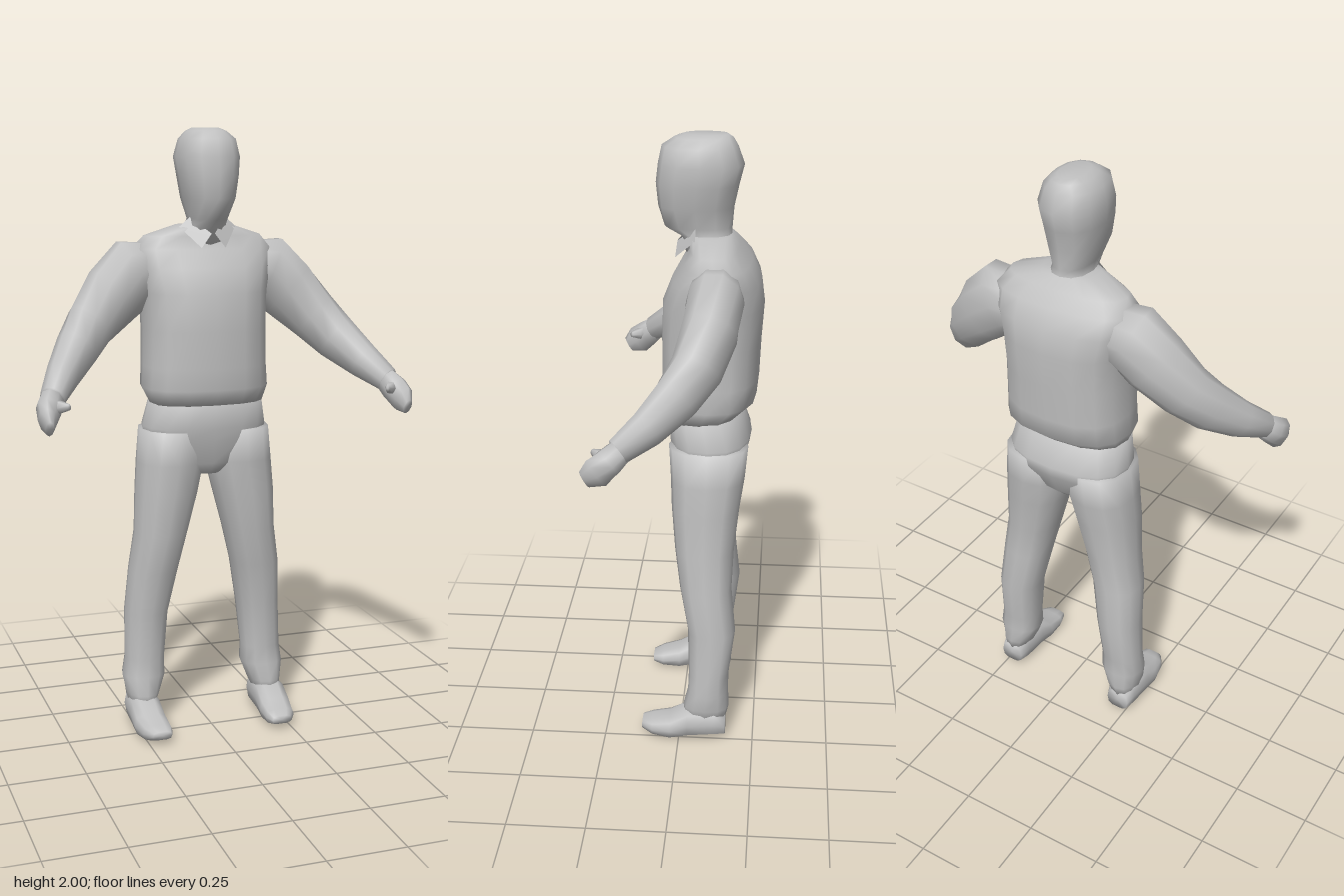
import * as THREE from 'three';

const V = (x, y, z) => new THREE.Vector3(x, y, z);

// Skin a list of rings {c, u, v} (u x v points along the path) and cap both ends.
function loft(rings, n = 12, power = 2) {
  const pos = [], idx = [];
  const bend = (t) => Math.sign(t) * Math.pow(Math.abs(t), 2 / power);
  for (const { c, u, v } of rings) {
    for (let i = 0; i < n; i++) {
      const a = (i / n) * Math.PI * 2;
      const p = c.clone().addScaledVector(u, bend(Math.cos(a))).addScaledVector(v, bend(Math.sin(a)));
      pos.push(p.x, p.y, p.z);
    }
  }
  const last = (rings.length - 1) * n;
  for (let r = 0; r < last; r += n) {
    for (let i = 0; i < n; i++) {
      const j = (i + 1) % n;
      idx.push(r + i, r + j, r + n + j, r + i, r + n + j, r + n + i);
    }
  }
  const base = pos.length / 3;
  for (const ring of [rings[0], rings[rings.length - 1]]) pos.push(ring.c.x, ring.c.y, ring.c.z);
  for (let i = 0; i < n; i++) {
    const j = (i + 1) % n;
    idx.push(base, j, i, base + 1, last + i, last + j);
  }
  const g = new THREE.BufferGeometry();
  g.setAttribute('position', new THREE.Float32BufferAttribute(pos, 3));
  g.setIndex(idx);
  g.computeVertexNormals();
  return g;
}

// Horizontal rings, bottom to top: [y, xMin, xMax, zBack, zFront]
const upright = (rows) => rows.map(([y, x0, x1, zb, zf]) => ({
  c: V((x0 + x1) / 2, y, (zb + zf) / 2),
  u: V((x1 - x0) / 2, 0, 0),
  v: V(0, 0, -(zf - zb) / 2),
}));

// Symmetric horizontal rings: [y, halfWidth, zBack, zFront]
const centred = (rows) => upright(rows.map(([y, w, zb, zf]) => [y, -w, w, zb, zf]));

// Rings facing +z, heel to toe: [z, xMin, xMax, yBottom, yTop]
const forward = (rows) => rows.map(([z, x0, x1, y0, y1]) => ({
  c: V((x0 + x1) / 2, (y0 + y1) / 2, z),
  u: V((x1 - x0) / 2, 0, 0),
  v: V(0, (y1 - y0) / 2, 0),
}));

// Rings square to a path: [x, y, z, sideRadius, upRadius]
function along(rows) {
  const pts = rows.map(([x, y, z]) => V(x, y, z));
  return rows.map(([, , , rs, ru], i) => {
    const t = pts[Math.min(i + 1, pts.length - 1)].clone().sub(pts[Math.max(i - 1, 0)]).normalize();
    const side = V(0, 1, 0).cross(t).normalize();
    const up = t.clone().cross(side);
    return { c: pts[i], u: side.multiplyScalar(rs), v: up.multiplyScalar(ru) };
  });
}

// Mirror a geometry in x, keeping its faces outward
function mirrored(g) {
  const m = g.clone().scale(-1, 1, 1);
  const a = m.index.array;
  for (let i = 0; i < a.length; i += 3) [a[i + 1], a[i + 2]] = [a[i + 2], a[i + 1]];
  m.computeVertexNormals();
  return m;
}

export function createModel() {
  const group = new THREE.Group();
  const grey = new THREE.MeshStandardMaterial({ color: 0xc0c0c0, side: THREE.DoubleSide });
  grey.name = 'plain grey';
  const add = (name, g) => {
    const mesh = new THREE.Mesh(g, grey);
    mesh.name = name;
    group.add(mesh);
  };
  const addPair = (name, g) => {
    add(name + 'Left', g);
    add(name + 'Right', mirrored(g));
  };

  // Head and neck
  add('head', loft(centred([
    [1.62, 0.075, -0.17, -0.01],
    [1.69, 0.065, -0.15, 0.01],
    [1.715, 0.058, -0.15, 0.06],
    [1.78, 0.083, -0.155, 0.08],
    [1.85, 0.094, -0.17, 0.087],
    [1.91, 0.102, -0.185, 0.08],
    [1.965, 0.088, -0.165, 0.068],
    [1.99, 0.062, -0.15, 0.03],
    [2.0, 0.04, -0.135, 0.0],
  ]), 12, 2.2));

  // Shirt, with its hem standing proud of the trousers
  add('shirt', loft(centred([
    [1.12, 0.19, -0.18, 0.055],
    [1.17, 0.212, -0.235, 0.068],
    [1.24, 0.207, -0.242, 0.07],
    [1.36, 0.205, -0.247, 0.07],
    [1.48, 0.21, -0.255, 0.066],
    [1.56, 0.23, -0.245, 0.035],
    [1.62, 0.235, -0.215, 0.0],
    [1.66, 0.2, -0.175, -0.02],
    [1.695, 0.09, -0.15, -0.015],
  ]), 16, 2.5));

  // Pointed collar flaps
  const flap = new THREE.BufferGeometry();
  flap.setAttribute('position', new THREE.Float32BufferAttribute([
    0.005, 1.67, 0.02, 0.04, 1.625, 0.025, 0.095, 1.69, -0.04, 0.06, 1.72, -0.04,
  ], 3));
  flap.setIndex([0, 1, 2, 0, 2, 3]);
  flap.computeVertexNormals();
  addPair('collar', flap);

  // Trouser seat
  add('hips', loft(centred([
    [0.88, 0.05, -0.14, -0.01],
    [0.92, 0.13, -0.18, 0.02],
    [1.0, 0.205, -0.215, 0.038],
    [1.04, 0.21, -0.222, 0.045],
    [1.15, 0.187, -0.185, 0.055],
  ]), 16, 2.4));

  // Legs
  addPair('leg', loft(upright([
    [0.07, 0.185, 0.268, -0.155, -0.02],
    [0.12, 0.165, 0.275, -0.168, -0.015],
    [0.18, 0.14, 0.287, -0.165, -0.03],
    [0.24, 0.142, 0.277, -0.165, -0.032],
    [0.4, 0.127, 0.273, -0.185, -0.028],
    [0.55, 0.098, 0.263, -0.17, 0.0],
    [0.68, 0.067, 0.243, -0.175, 0.018],
    [0.82, 0.03, 0.238, -0.19, 0.03],
    [0.92, 0.008, 0.23, -0.205, 0.034],
    [1.03, 0.01, 0.218, -0.215, 0.04],
  ]), 12, 2.3));

  // Shoes
  addPair('shoe', loft(forward([
    [-0.157, 0.185, 0.265, 0.018, 0.09],
    [-0.12, 0.172, 0.275, 0.015, 0.12],
    [-0.03, 0.17, 0.28, 0.008, 0.115],
    [0.03, 0.167, 0.28, 0.0, 0.078],
    [0.09, 0.167, 0.268, 0.008, 0.062],
    [0.125, 0.178, 0.245, 0.022, 0.05],
  ]), 10, 3));

  // Arms, sweeping out, down and forward to the wrist
  addPair('arm', loft(along([
    [0.14, 1.55, -0.11, 0.08, 0.09],
    [0.23, 1.54, -0.11, 0.088, 0.118],
    [0.3, 1.475, -0.1, 0.085, 0.108],
    [0.385, 1.385, -0.065, 0.076, 0.088],
    [0.445, 1.315, -0.01, 0.066, 0.078],
    [0.51, 1.245, 0.07, 0.052, 0.06],
    [0.56, 1.192, 0.15, 0.04, 0.042],
  ]), 10));

  // Hands: a closed mitt and a short thumb
  addPair('hand', loft(along([
    [0.553, 1.2, 0.135, 0.035, 0.038],
    [0.575, 1.165, 0.175, 0.042, 0.046],
    [0.588, 1.135, 0.21, 0.03, 0.05],
    [0.59, 1.115, 0.245, 0.014, 0.028],
  ]), 8));
  addPair('thumb', loft(along([
    [0.57, 1.175, 0.175, 0.02, 0.022],
    [0.545, 1.172, 0.205, 0.018, 0.02],
    [0.525, 1.175, 0.228, 0.008, 0.01],
  ]), 6));

  return group;
}
